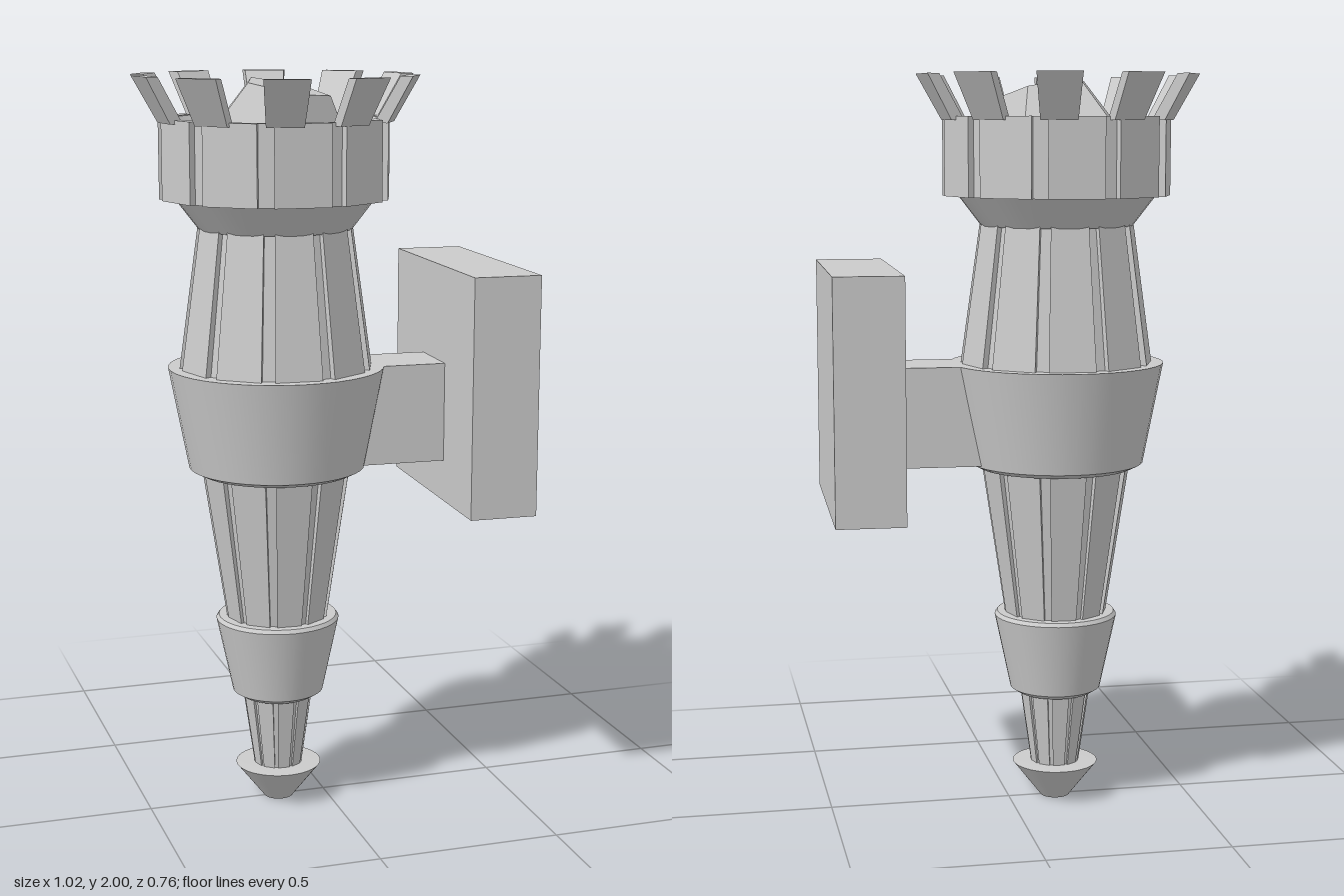
import * as THREE from 'three';
import { toCreasedNormals } from 'three/addons/utils/BufferGeometryUtils.js';

const AXIS = -0.132; // x of the torch axis
const RIBS = 10;
const smooth = new THREE.MeshStandardMaterial({ color: 0xcccccc });
const flat = new THREE.MeshStandardMaterial({ color: 0xcccccc, flatShading: true });

function mesh(name, geometry, material = flat) {
  const m = new THREE.Mesh(geometry, material);
  m.name = name;
  return m;
}

// Turned part from [radius, height] points, listed bottom to top on the outside
function turned(name, points) {
  const g = new THREE.LatheGeometry(points.map(([r, y]) => new THREE.Vector2(r, y)), 40);
  return mesh(name, toCreasedNormals(g, 0.5), smooth);
}

// Tapered column with flat ribs and narrow recessed grooves
function fluted(name, y0, y1, r0, r1, depth, hole = 0) {
  const shape = new THREE.Shape();
  const pts = [];
  for (let i = 0; i < RIBS; i++) {
    const mid = THREE.MathUtils.degToRad(-2.5 + (i * 360) / RIBS);
    for (const [deg, r] of [[-14, 1 - depth], [-14, 1], [14, 1], [14, 1 - depth]]) {
      const a = mid + THREE.MathUtils.degToRad(deg);
      pts.push(new THREE.Vector2(r * Math.sin(a), -r * Math.cos(a)));
    }
  }
  shape.setFromPoints(pts);
  if (hole) shape.holes.push(new THREE.Path().absarc(0, 0, hole, 0, Math.PI * 2, true));
  const g = new THREE.ExtrudeGeometry(shape, { depth: y1 - y0, bevelEnabled: false, curveSegments: 20 });
  g.rotateX(-Math.PI / 2);
  const p = g.attributes.position;
  for (let i = 0; i < p.count; i++) {
    const r = THREE.MathUtils.lerp(r0, r1, p.getY(i) / (y1 - y0));
    p.setXYZ(i, p.getX(i) * r, p.getY(i) + y0, p.getZ(i) * r);
  }
  g.computeVertexNormals();
  return mesh(name, g);
}

// Flared crown tooth with radial sides, pointing along +x
function toothGeometry() {
  const shape = new THREE.Shape([[0.272, 1.88], [0.308, 1.88], [0.375, 2], [0.342, 2]]
    .map(([r, y]) => new THREE.Vector2(r, y)));
  const g = new THREE.ExtrudeGeometry(shape, { depth: 1, bevelEnabled: false });
  g.translate(0, 0, -0.5);
  const p = g.attributes.position;
  for (let i = 0; i < p.count; i++) p.setZ(i, p.getZ(i) * 0.314 * p.getX(i));
  g.computeVertexNormals();
  return g;
}

export function createModel() {
  const model = new THREE.Group();
  model.name = 'wallTorch';
  const torch = new THREE.Group();
  torch.name = 'torch';
  torch.position.x = AXIS;
  model.add(torch);

  // Pointed foot and the two flaring bands
  torch.add(turned('foot', [[0, 0.01], [0.018, 0.01], [0.022, 0], [0.04, 0], [0.118, 0.1], [0, 0.105]]));
  torch.add(turned('lowerBand', [[0, 0.305], [0.105, 0.305], [0.125, 0.318], [0.169, 0.525], [0.162, 0.535], [0, 0.535]]));
  torch.add(turned('upperBand', [[0, 0.942], [0.212, 0.942], [0.238, 0.955], [0.291, 1.23], [0, 1.23]]));

  // Ribbed shafts between the bands
  torch.add(fluted('lowerShaft', 0.1, 0.31, 0.067, 0.097, 0.08));
  torch.add(fluted('middleShaft', 0.53, 0.95, 0.14, 0.204, 0.07));
  torch.add(fluted('upperShaft', 1.225, 1.61, 0.262, 0.208, 0.07));

  // Collar and hollow crown with its bowl
  torch.add(turned('collar', [[0, 1.6], [0.205, 1.6], [0.27, 1.685], [0, 1.69]]));
  torch.add(fluted('crown', 1.68, 1.89, 0.308, 0.308, 0.06, 0.27 / 0.308));
  torch.add(turned('bowl', [[0.272, 1.7], [0.272, 1.89], [0.2, 1.79], [0, 1.79]]));

  // Ring of teeth
  const tooth = toothGeometry();
  for (let i = 0; i < RIBS; i++) {
    const m = mesh('crownTooth' + (i + 1), tooth);
    m.rotation.y = Math.PI / 2 - THREE.MathUtils.degToRad(11.3 + (i * 360) / RIBS);
    torch.add(m);
  }

  // Faceted ember, face up and slightly tilted
  const ember = new THREE.DodecahedronGeometry(0.196);
  ember.rotateX(-0.5536).rotateX(0.123).rotateZ(-0.161).translate(0, 1.815, 0);
  torch.add(mesh('ember', ember));

  // Wall plate and arm, turned slightly from the torch
  const mount = new THREE.Group();
  mount.name = 'wallMount';
  mount.position.set(0.406, 0, 0.017);
  mount.rotation.y = -0.034;
  const plate = mesh('wallPlate', new THREE.BoxGeometry(0.184, 0.645, 0.648));
  plate.position.y = 1.17;
  const arm = mesh('arm', new THREE.BoxGeometry(0.48, 0.27, 0.187));
  arm.position.set(-0.3, 1.095, 0.003);
  mount.add(plate, arm);
  model.add(mount);
  return model;
}
